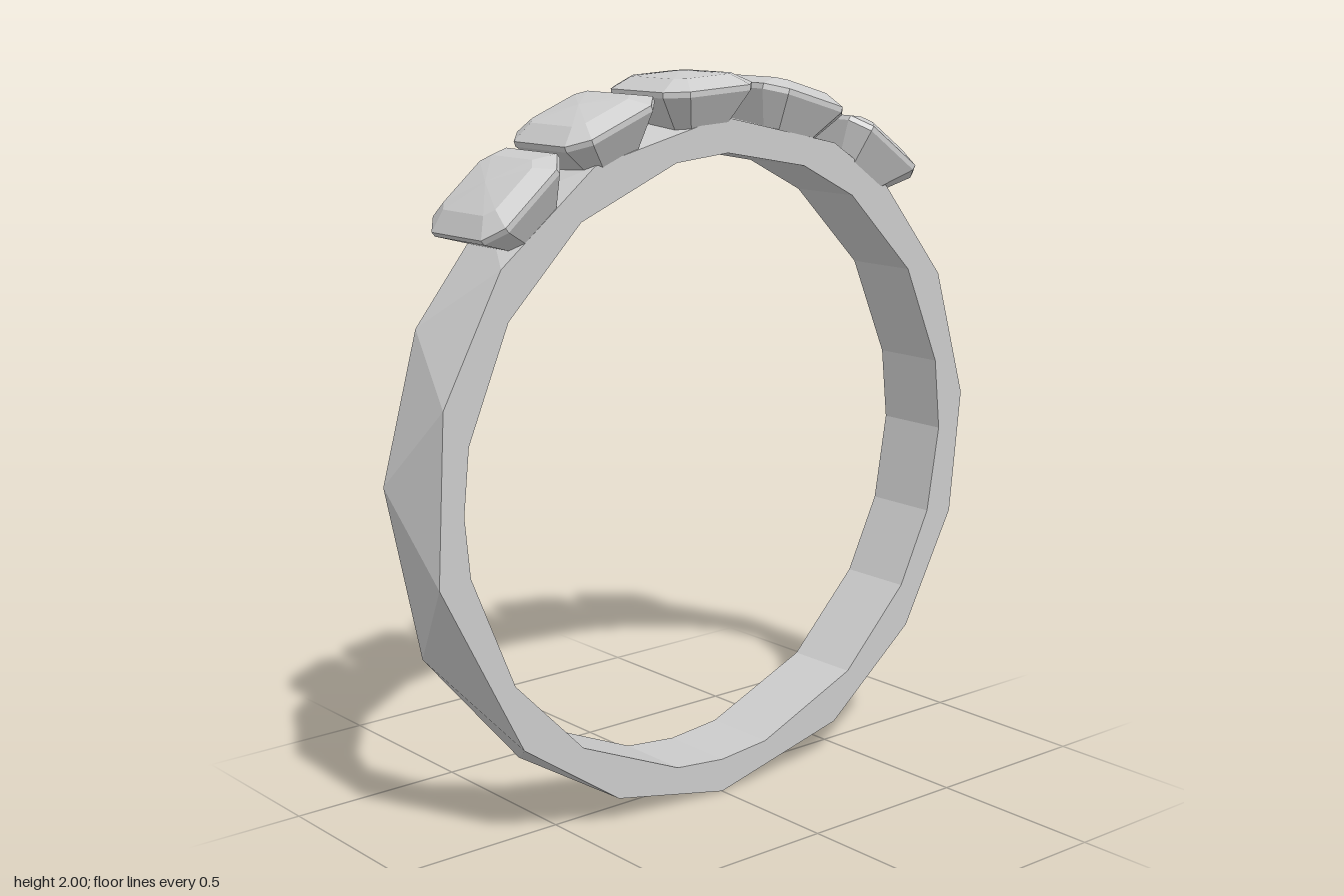
import * as THREE from 'three';

const CY = 0.94, R_OUT = 0.94, R_IN = 0.845, HALF = 0.11;
const material = new THREE.MeshStandardMaterial({ color: 0xcccccc, flatShading: true });

// Facet corners as degrees around the band; front and back rims are staggered
const FRONT = [-90, -62.6, -39.6, -17, 5, 28.5, 50, 64.7, 90, 117, 140, 163, 190.7, 224, 247];
const BACK = [-79, -52, -33, -6, 12, 38, 57, 77, 103, 130, 152, 177, 207, 235, 258];
const INNER = [-90, -79, -55, -34, -18, -1, 13, 34, 56, 70, 89, 101, 124, 146, 168, 180, 191, 214, 235, 259];

const rad = THREE.MathUtils.degToRad;
const polar = (r, deg, z) => new THREE.Vector3(r * Math.cos(rad(deg)), r * Math.sin(rad(deg)), z);

function addMesh(parent, name, geometry) {
  const mesh = new THREE.Mesh(geometry, material);
  mesh.name = name;
  parent.add(mesh);
  return mesh;
}

function fromTriangles(points) {
  const g = new THREE.BufferGeometry().setFromPoints(points);
  g.computeVertexNormals();
  return g;
}

// Flat annulus between an outer and an inner polygon, facing +z
function rimGeometry(outer, inner) {
  const shape = new THREE.Shape(outer.map(a => polar(R_OUT, a, 0)));
  shape.holes.push(new THREE.Path(inner.map(a => polar(R_IN, a, 0))));
  return new THREE.ShapeGeometry(shape);
}

function createBand() {
  const band = new THREE.Group();
  band.name = 'band';
  band.position.y = CY;

  // Outer wall: zigzag triangles between the staggered rims
  const outer = [];
  FRONT.forEach((_, i) => {
    const j = (i + 1) % FRONT.length;
    const f = polar(R_OUT, FRONT[i], HALF), f2 = polar(R_OUT, FRONT[j], HALF);
    const b = polar(R_OUT, BACK[i], -HALF), b2 = polar(R_OUT, BACK[j], -HALF);
    outer.push(f, b, f2, b, b2, f2);
  });
  addMesh(band, 'outerWall', fromTriangles(outer));

  // Inner wall: plain facets facing the centre
  const inner = [];
  INNER.forEach((a, i) => {
    const a2 = INNER[(i + 1) % INNER.length];
    const f = polar(R_IN, a, HALF), f2 = polar(R_IN, a2, HALF);
    const b = polar(R_IN, a, -HALF), b2 = polar(R_IN, a2, -HALF);
    inner.push(f, f2, b2, f, b2, b);
  });
  addMesh(band, 'innerWall', fromTriangles(inner));

  // Side rims; the back one is mirrored, then turned around
  const mirror = list => list.map(a => 180 - a);
  addMesh(band, 'frontRim', rimGeometry(FRONT, INNER).translate(0, 0, HALF));
  addMesh(band, 'backRim', rimGeometry(mirror(BACK), mirror(INNER)).rotateY(Math.PI).translate(0, 0, -HALF));
  return band;
}

// Chamfered rectangle at height y, counter-clockwise seen from above
function octagon([y, hx, hz, c]) {
  return [
    [hx, hz - c], [hx, c - hz], [hx - c, -hz], [c - hx, -hz],
    [-hx, c - hz], [-hx, hz - c], [c - hx, hz], [hx - c, hz],
  ].map(([x, z]) => new THREE.Vector3(x, y, z));
}

// Cut stone: pavilion, thin girdle, bevelled crown and slightly domed table
function stoneGeometry() {
  const rings = [
    [0.915, 0.09, 0.105, 0.03],
    [1.005, 0.152, 0.158, 0.05],
    [1.02, 0.152, 0.158, 0.05],
    [1.049, 0.098, 0.112, 0.025],
  ].map(octagon);
  const bottom = new THREE.Vector3(0, 0.915, 0), top = new THREE.Vector3(0, 1.06, 0);
  const tris = [];
  for (let i = 0; i < 8; i++) {
    const j = (i + 1) % 8;
    for (let k = 0; k < rings.length - 1; k++) {
      const lo = rings[k], hi = rings[k + 1];
      tris.push(lo[i], lo[j], hi[j], lo[i], hi[j], hi[i]);
    }
    tris.push(bottom, rings[0][j], rings[0][i]);
    tris.push(top, rings[3][i], rings[3][j]);
  }
  return fromTriangles(tris);
}

export function createModel() {
  const ring = new THREE.Group();
  ring.name = 'ring';
  ring.add(createBand());

  // Five stones set along the crown of the band
  const stone = stoneGeometry();
  [130.3, 111.8, 93, 73.7, 54.8].forEach((angle, i) => {
    const mesh = addMesh(ring, `stone${i + 1}`, stone);
    mesh.position.y = CY;
    mesh.rotation.z = rad(angle - 90);
  });
  return ring;
}
